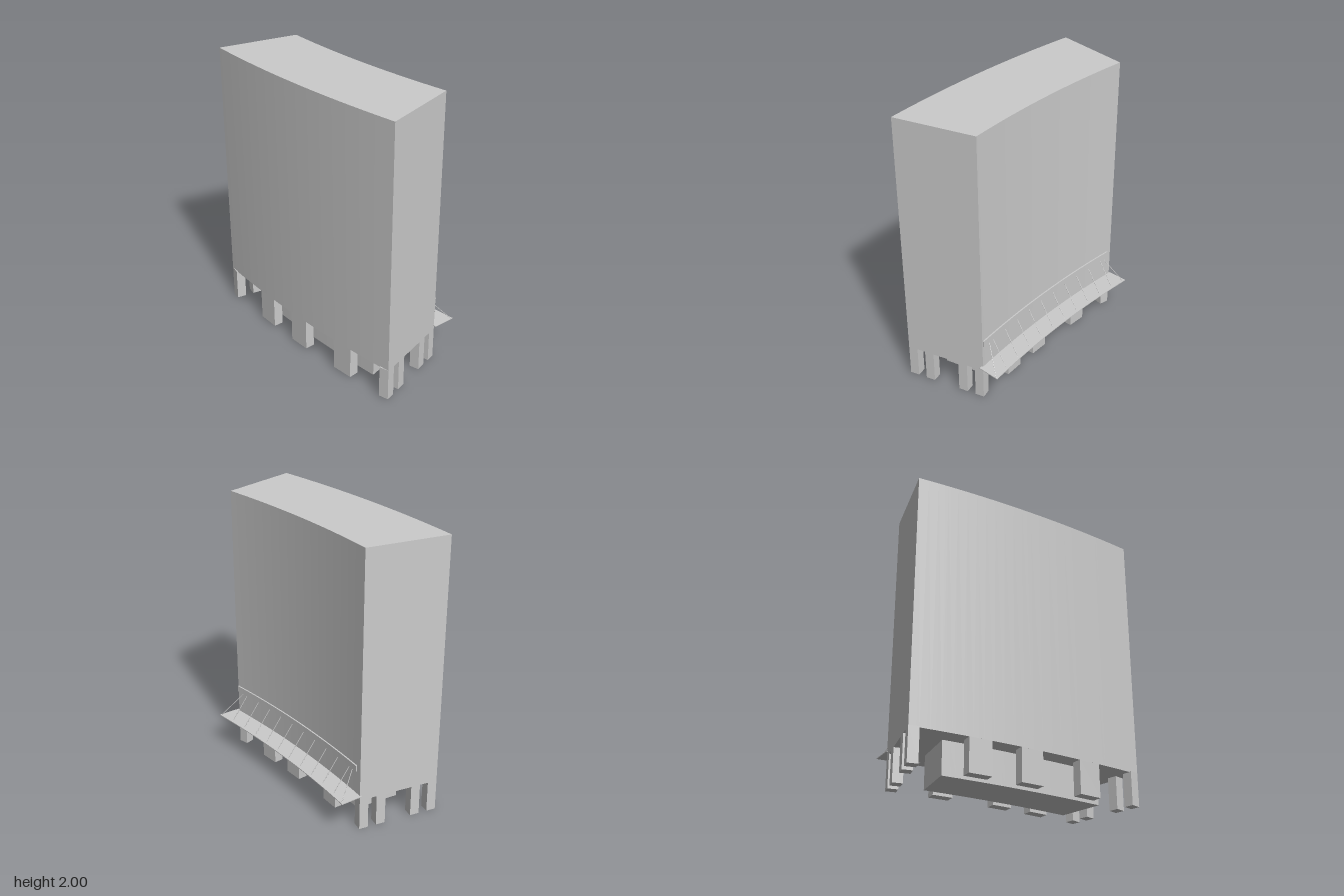
import * as THREE from 'three';
import { toCreasedNormals } from 'three/addons/utils/BufferGeometryUtils.js';

const grey = new THREE.MeshStandardMaterial({ color: 0xcccccc });

// Gently curved long sides: x as a function of z
const outerX = z => -0.41 + (z + 0.4) ** 2 / 16.7;
const innerX = z => 0.168 + (z + 0.38) ** 2 / 14.2;

// Points along a curve from z0 to z1
function along(fn, z0, z1, n = 24) {
  return Array.from({ length: n + 1 }, (_, i) => {
    const z = z0 + (z1 - z0) * i / n;
    return [fn(z), z];
  });
}

// Vertical prism over a floor plan of [x, z] points
function prism(name, plan, y0, y1) {
  const shape = new THREE.Shape(plan.map(([x, z]) => new THREE.Vector2(x, -z)));
  const geo = new THREE.ExtrudeGeometry(shape, { depth: y1 - y0, bevelEnabled: false });
  geo.rotateX(-Math.PI / 2).translate(0, y0, 0);
  const mesh = new THREE.Mesh(toCreasedNormals(geo, 0.3), grey);
  mesh.name = name;
  return mesh;
}

// Strip following the inner wall between two offsets
function wallStrip(name, z0, z1, off0, off1, y0, y1) {
  return prism(name, [
    ...along(z => innerX(z) + off0, z0, z1),
    ...along(z => innerX(z) + off1, z1, z0)
  ], y0, y1);
}

// Pillar whose outer face runs from p to q, reaching towards the middle
function pillar(p, q, depth = 0.07) {
  const len = Math.hypot(q[0] - p[0], q[1] - p[1]);
  let nx = -(q[1] - p[1]) / len, nz = (q[0] - p[0]) / len;
  if (nx * (p[0] + 0.1) + nz * p[1] > 0) { nx = -nx; nz = -nz; }
  const inset = ([x, z]) => [x + nx * depth, z + nz * depth];
  return prism('pillar', [p, q, inset(q), inset(p)], 0, 0.235);
}

// Thin rod between two points
function rod(a, b, r = 0.0025) {
  const path = new THREE.LineCurve3(new THREE.Vector3(...a), new THREE.Vector3(...b));
  const mesh = new THREE.Mesh(new THREE.TubeGeometry(path, 1, r, 6), grey);
  mesh.name = 'tieRod';
  return mesh;
}

export function createModel() {
  const model = new THREE.Group();
  model.name = 'building';

  // Main tower block
  model.add(prism('tower', [
    ...along(outerX, -0.86, 0.86), ...along(innerX, 0.695, -0.755)
  ], 0.23, 2));

  // Recessed ground floor core
  model.add(prism('groundFloorCore', [
    ...along(z => outerX(z) + 0.13, -0.58, 0.6),
    ...along(z => innerX(z) - 0.13, 0.52, -0.55)
  ], 0, 0.235));

  // Pillars: four on each end, three on each long side
  const pillars = new THREE.Group();
  pillars.name = 'pillars';
  const ends = [
    [[outerX(0.86), 0.86], [innerX(0.695), 0.695]],
    [[outerX(-0.86), -0.86], [innerX(-0.755), -0.755]]
  ];
  for (const [a, b] of ends) {
    const at = t => [a[0] + (b[0] - a[0]) * t, a[1] + (b[1] - a[1]) * t];
    for (const [t0, t1] of [[0, 0.115], [0.22, 0.335], [0.67, 0.785], [0.89, 1]])
      pillars.add(pillar(at(t0), at(t1)));
  }
  for (const [z0, z1] of [[0.41, 0.27], [0.12, -0.02], [-0.32, -0.46]])
    pillars.add(pillar([innerX(z0), z0], [innerX(z1), z1]));
  for (const [z0, z1] of [[0.52, 0.36], [0.07, -0.09], [-0.3, -0.46]])
    pillars.add(pillar([outerX(z0), z0], [outerX(z1), z1]));
  model.add(pillars);

  // Entrance canopy with its wall rail
  const canopy = new THREE.Group();
  canopy.name = 'canopy';
  canopy.add(wallStrip('canopySlab', -0.765, 0.72, -0.012, 0.152, 0.26, 0.266));
  canopy.add(wallStrip('wallRail', -0.715, 0.69, -0.004, 0.01, 0.437, 0.482));

  // Tie rods and the beams under the slab
  for (let i = 0; i < 10; i++) {
    const z = -0.635 + i * 0.1355, x = innerX(z);
    canopy.add(rod([x + 0.005, 0.44, z], [x + 0.13, 0.264, z + 0.006]));
    canopy.add(prism('canopyBeam', [
      [x - 0.005, z - 0.004], [x - 0.005, z + 0.004],
      [x + 0.13, z + 0.01], [x + 0.13, z + 0.002]
    ], 0.246, 0.262));
  }
  // Diagonal rods to the outer corners
  for (const [zTop, zEnd] of [[-0.67, -0.745], [0.625, 0.715]])
    canopy.add(rod([innerX(zTop) + 0.005, 0.44, zTop], [innerX(zEnd) + 0.14, 0.264, zEnd]));
  model.add(canopy);

  return model;
}
